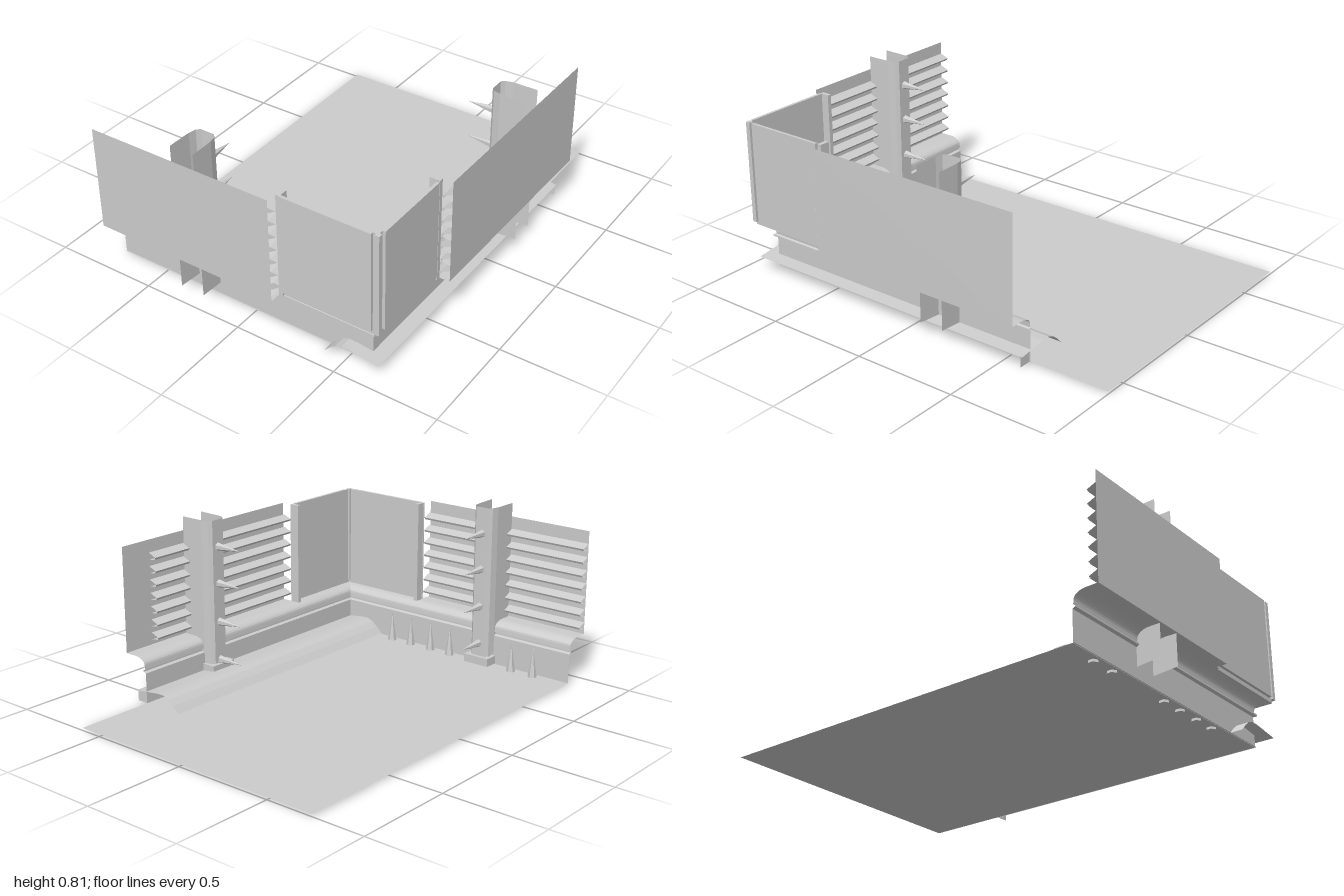
import * as THREE from 'three';

const mat = new THREE.MeshStandardMaterial({ color: 0xcccccc, flatShading: true, side: THREE.DoubleSide });

function add(parent, geometry, name, x = 0, y = 0, z = 0) {
  const mesh = new THREE.Mesh(geometry, mat);
  mesh.name = name;
  mesh.position.set(x, y, z);
  parent.add(mesh);
  return mesh;
}

// Thin sheet joining equal-length rows of [x, y, z] points
function sheet(rows) {
  const n = rows[0].length, index = [];
  for (let r = 0; r < rows.length - 1; r++) {
    for (let i = 0; i < n - 1; i++) {
      const a = r * n + i, b = a + n;
      index.push(a, b, a + 1, a + 1, b, b + 1);
    }
  }
  let g = new THREE.BufferGeometry();
  g.setAttribute('position', new THREE.Float32BufferAttribute(rows.flat(2), 3));
  g.setIndex(index);
  g = g.toNonIndexed();
  g.computeVertexNormals();
  return g;
}

// Flat upright rectangle at depth z
function upright(x0, x1, y0, y1, z) {
  return sheet([[[x0, y0, z], [x1, y0, z]], [[x0, y1, z], [x1, y1, z]]]);
}

// Open channel with a web inside and two fins reaching out to the panel
function pilaster(parent, x, footY) {
  const g = new THREE.Group();
  g.name = 'pilaster';
  g.position.x = x;
  parent.add(g);
  const section = [[-0.06, 0.118, 0.08], [-0.058, 0, 0.07], [-0.05, -0.035, 0.05], [-0.035, -0.05, 0.04],
    [0.035, -0.05, 0.04], [0.05, -0.035, 0.05], [0.058, 0, 0.07], [0.06, 0.118, 0.08]];
  add(g, sheet([section.map(([px, u, y]) => [px, y, u]), section.map(([px, u]) => [px, 0.81, u])]), 'channel');
  add(g, new THREE.BoxGeometry(0.14, 0.04, 0.07), 'pilasterFoot', 0, footY, -0.035);
  for (const y of [0.12, 0.31, 0.5, 0.68]) {
    const spike = add(g, new THREE.ConeGeometry(0.02, 0.14, 6), 'wallSpike', 0, y, -0.12);
    spike.rotation.x = -Math.PI / 2;
  }
}

// One side of the wall: local x along it, local z outwards from its lower face
function wallSide({ panel, slats, corner, trim, join, pilasterX, footY }) {
  const g = new THREE.Group();
  add(g, upright(panel[0], panel[1], 0.23, 0.74, 0.125), 'outerPanel');
  // Louvre slats behind the outer panel
  for (let i = 0; i < 7; i++) {
    const y = 0.255 + i * 0.065;
    const section = [[y, 0.123], [y + 0.006, 0.085], [y + 0.016, 0.08], [y + 0.034, 0.123]];
    add(g, sheet(slats.map(x => section.map(([py, u]) => [x, py, u]))), 'louvreSlat');
  }
  // Recessed corner panel with a raised face and an inner edge strip
  add(g, upright(corner[0], corner[1], 0.23, 0.74, 0.065), 'cornerPanel');
  add(g, new THREE.BoxGeometry(trim[1] - trim[0], 0.49, 0.014), 'cornerPanelFace',
    (trim[0] + trim[1]) / 2, 0.495, 0.072);
  add(g, new THREE.BoxGeometry(0.02, 0.51, 0.05), 'edgeStrip', join, 0.485, 0.05);
  pilaster(g, pilasterX, footY);
  return g;
}

export function createModel() {
  const model = new THREE.Group();
  model.name = 'parapetCorner';

  // Floor
  const floor = add(model, new THREE.PlaneGeometry(1.35, 1.875), 'floor', -0.065, 0.012, -0.0625);
  floor.rotation.x = -Math.PI / 2;

  // Lower wall and cove ledge, swept round the corner with a mitre
  const profile = [[0, 0.01], [0, 0.158], [0.014, 0.164], [0.014, 0.172], [0.004, 0.176], [0.006, 0.196]];
  for (let i = 1; i <= 6; i++) {
    const a = (i / 6) * Math.PI / 2;
    profile.push([0.006 + 0.06 * (1 - Math.cos(a)), 0.196 + 0.034 * Math.sin(a)]);
  }
  const sweep = [
    profile.map(([u, y]) => [-0.74, y, 0.87 + u]),
    profile.map(([u, y]) => [0.61 + u, y, 0.87 + u]),
    profile.map(([u, y]) => [0.61 + u, y, -0.61]),
  ];
  add(model, sheet(sweep), 'lowerWall');

  // Ledges joining the cove to the outer panels
  const ledge = (x0, x1, z0, z1) => add(model,
    sheet([[[x0, 0.23, z0], [x1, 0.23, z0]], [[x0, 0.23, z1], [x1, 0.23, z1]]]), 'panelLedge');
  ledge(-0.74, 0.19, 0.936, 0.995);
  ledge(0.676, 0.735, -0.61, 0.48);

  // Front and right sides
  const front = wallSide({
    panel: [-0.74, 0.187], slats: [-0.74, 0.192], corner: [0.187, 0.675], trim: [0.21, 0.65],
    join: 0.2, pilasterX: -0.25, footY: 0.035,
  });
  front.name = 'frontWall';
  front.position.z = 0.87;
  const right = wallSide({
    panel: [-0.48, 0.61], slats: [-0.487, 0.45], corner: [-0.935, -0.48], trim: [-0.905, -0.51],
    join: -0.49, pilasterX: 0.17, footY: 0.085,
  });
  right.name = 'rightWall';
  right.position.x = 0.61;
  right.rotation.y = Math.PI / 2;
  model.add(front, right);

  // Folded post at the outer corner
  add(model, new THREE.BoxGeometry(0.022, 0.495, 0.022), 'cornerPost', 0.676, 0.4925, 0.936);

  // Raised flashing sheet along the foot of the right wall
  const flash = [[0.4, 0.014], [0.43, 0.045], [0.46, 0.068], [0.49, 0.08], [0.53, 0.08], [0.61, 0.07], [0.675, 0.062]];
  add(model, sheet([-0.615, 0.93].map(z => flash.map(([x, y]) => [x, y, z]))), 'flashing');
  add(model, upright(0.61, 0.672, 0.01, 0.064, -0.605), 'flashingEnd');

  // Floor spikes along the front wall
  for (const x of [-0.56, -0.435, -0.065, 0.055, 0.18, 0.3]) {
    add(model, new THREE.ConeGeometry(0.024, 0.16, 6), 'floorSpike', x, 0.08, 0.835);
  }
  return model;
}
